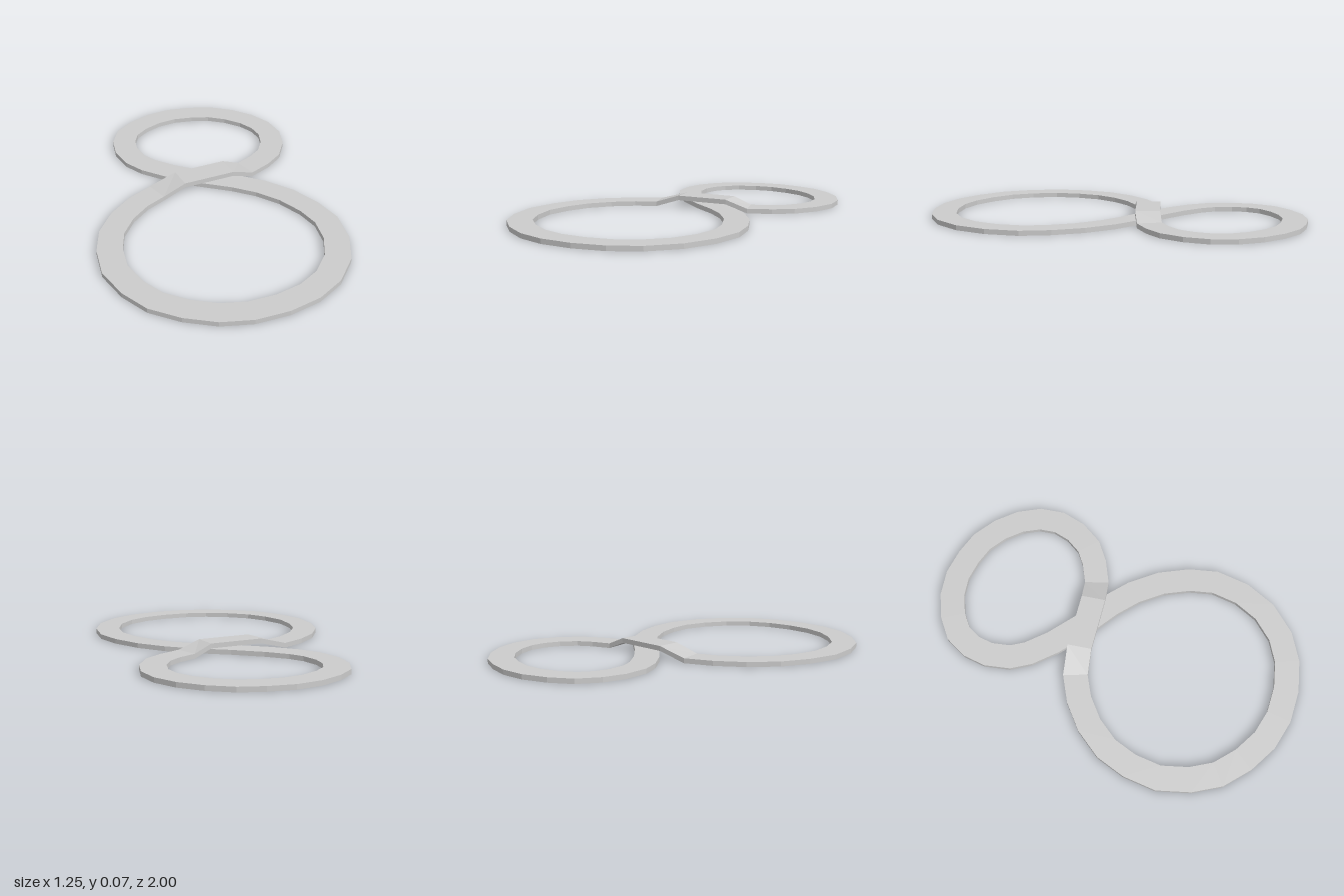
import * as THREE from 'three';

const WIDTH = 0.127, THICK = 0.025, LIFT = 0.041;

// Centre line (x, z) of the figure-eight track, starting at the foot of the bridge
const BRIDGE = [[-0.31, -0.07], [-0.18, -0.13], [-0.03, -0.18], [0.09, -0.22], [0.19, -0.265]];
const SMALL_LOOP = [
  [0.28, -0.34], [0.345, -0.42], [0.38, -0.53], [0.38, -0.64], [0.34, -0.74], [0.265, -0.825],
  [0.165, -0.89], [0.05, -0.932], [-0.065, -0.938], [-0.185, -0.925], [-0.295, -0.88],
  [-0.39, -0.805], [-0.455, -0.72], [-0.477, -0.62], [-0.465, -0.52], [-0.415, -0.415], [-0.345, -0.345],
];
const UNDERPASS = [[-0.225, -0.27], [-0.06, -0.195], [0.12, -0.13], [0.25, -0.065]];
const LARGE_LOOP = [
  [0.375, 0.03], [0.475, 0.15], [0.54, 0.275], [0.56, 0.43], [0.535, 0.585], [0.46, 0.725],
  [0.355, 0.825], [0.22, 0.895], [0.07, 0.935], [-0.075, 0.935], [-0.22, 0.895], [-0.355, 0.825],
  [-0.455, 0.72], [-0.535, 0.58], [-0.56, 0.425], [-0.55, 0.28], [-0.495, 0.14], [-0.41, 0.02],
];

// Sweeps a rectangular section round a closed path with mitred corners
function trackGeometry(path, heights) {
  const n = path.length, positions = [], indices = [];
  const points = path.map(([x, z]) => new THREE.Vector2(x, z));
  for (let i = 0; i < n; i++) {
    const p = points[i];
    const before = p.clone().sub(points[(i + n - 1) % n]).normalize();
    const after = points[(i + 1) % n].clone().sub(p).normalize();
    const t = before.clone().add(after).normalize();
    const half = WIDTH / 2 / t.dot(after);
    const rx = -t.y * half, rz = t.x * half, y = heights[i];
    positions.push(
      p.x - rx, y, p.y - rz,
      p.x + rx, y, p.y + rz,
      p.x + rx, y + THICK, p.y + rz,
      p.x - rx, y + THICK, p.y - rz,
    );
    for (let k = 0; k < 4; k++) {
      const a = i * 4 + k, b = i * 4 + (k + 1) % 4;
      const c = ((i + 1) % n) * 4 + (k + 1) % 4, d = ((i + 1) % n) * 4 + k;
      indices.push(a, d, c, a, c, b);
    }
  }
  const indexed = new THREE.BufferGeometry();
  indexed.setAttribute('position', new THREE.Float32BufferAttribute(positions, 3));
  indexed.setIndex(indices);
  const geometry = indexed.toNonIndexed();
  geometry.computeVertexNormals();
  return geometry;
}

export function createModel() {
  const group = new THREE.Group();
  group.name = 'figureEightTrack';

  // One continuous band; only the middle of the bridge is raised
  const path = [...BRIDGE, ...SMALL_LOOP, ...UNDERPASS, ...LARGE_LOOP];
  const heights = path.map((_, i) => (i >= 1 && i <= 3 ? LIFT : 0));
  const material = new THREE.MeshStandardMaterial({ color: 0xcccccc, flatShading: true });
  const track = new THREE.Mesh(trackGeometry(path, heights), material);
  track.name = 'track';
  group.add(track);
  return group;
}
